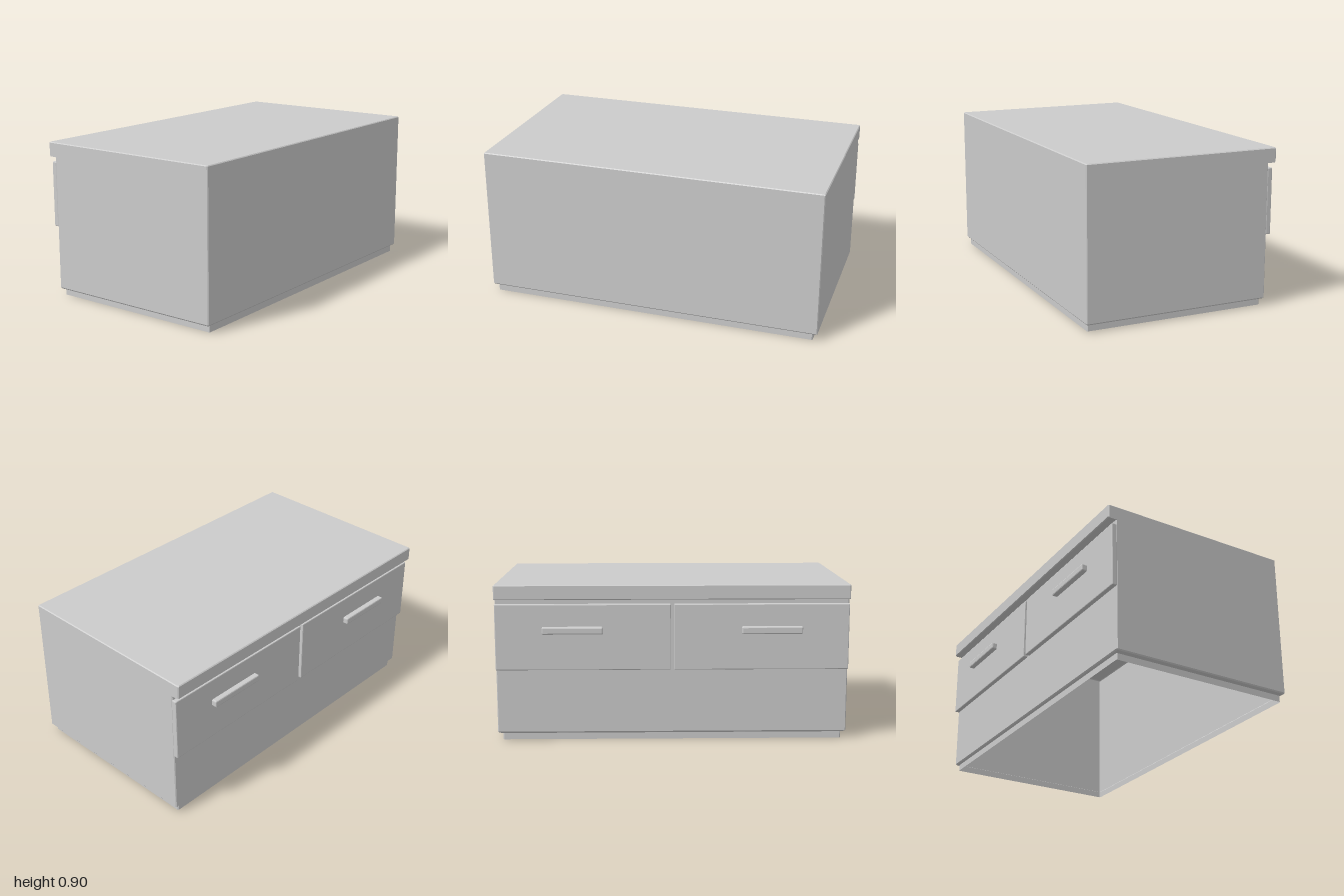
import * as THREE from 'three';
import { RoundedBoxGeometry } from 'three/addons/geometries/RoundedBoxGeometry.js';

const FRONT = 0.573, BACK = -0.517, TOP_BACK = -0.565, DRAWER_BACK = -0.543;

function createMaterial(side = THREE.FrontSide) {
  return new THREE.MeshStandardMaterial({ color: 0xcccccc, flatShading: true, side });
}

// Rectangle with chamfered corners at height y, counter-clockwise from above
function ring({ y, x, front, back }) {
  const c = 0.005;
  return [
    [x - c, front], [x, front - c], [x, back + c], [x - c, back],
    [-x + c, back], [-x, back + c], [-x, front - c], [-x + c, front],
  ].map(([px, pz]) => new THREE.Vector3(px, y, pz));
}

// Skin stacked rings into a shell, closed at the top and open underneath
function loftShell(sections) {
  const rings = sections.map(ring);
  const points = [];
  for (let i = 0; i < rings.length - 1; i++) {
    const low = rings[i], high = rings[i + 1];
    for (let j = 0; j < low.length; j++) {
      const k = (j + 1) % low.length;
      points.push(low[j], low[k], high[k], low[j], high[k], high[j]);
    }
  }
  const cap = rings[rings.length - 1];
  for (let j = 1; j < cap.length - 1; j++) points.push(cap[0], cap[j], cap[j + 1]);
  const geometry = new THREE.BufferGeometry().setFromPoints(points);
  geometry.computeVertexNormals();
  return geometry;
}

// Softly bevelled block given by its extents
function block(name, [x0, x1], [y0, y1], [z0, z1], bevel) {
  const geometry = new RoundedBoxGeometry(x1 - x0, y1 - y0, z1 - z0, 1, bevel);
  const mesh = new THREE.Mesh(geometry, createMaterial());
  mesh.name = name;
  mesh.position.set((x0 + x1) / 2, (y0 + y1) / 2, (z0 + z1) / 2);
  return mesh;
}

export function createModel() {
  const model = new THREE.Group();
  model.name = 'drawerCabinet';

  // Hollow cabinet: recessed plinth, straight walls, overhanging top edge
  const body = new THREE.Mesh(loftShell([
    { y: 0, x: 0.97, front: 0.558, back: -0.502 },
    { y: 0.037, x: 0.97, front: 0.558, back: -0.502 },
    { y: 0.042, x: 0.993, front: 0.567, back: -0.511 },
    { y: 0.049, x: 0.998, front: FRONT, back: BACK },
    { y: 0.796, x: 0.998, front: FRONT, back: BACK },
    { y: 0.814, x: 0.998, front: FRONT, back: BACK },
    { y: 0.815, x: 0.998, front: FRONT, back: TOP_BACK + 0.005 },
    { y: 0.82, x: 0.998, front: FRONT, back: TOP_BACK },
    { y: 0.893, x: 0.998, front: FRONT, back: TOP_BACK },
    { y: 0.898, x: 0.993, front: FRONT - 0.005, back: TOP_BACK + 0.005 },
  ]), createMaterial(THREE.DoubleSide));
  body.name = 'cabinetBody';
  model.add(body);

  // Two drawers with bar handles, mirrored about the middle gap
  for (const side of [-1, 1]) {
    const span = (a, b) => (side > 0 ? [a, b] : [-b, -a]);
    const drawer = new THREE.Group();
    drawer.name = side > 0 ? 'leftDrawer' : 'rightDrawer';
    drawer.add(
      block('drawerPanel', span(0.01, 0.998), [0.412, 0.787], [DRAWER_BACK, -0.512], 0.005),
      block('drawerHandle', span(0.39, 0.733), [0.62, 0.661], [-0.574, DRAWER_BACK + 0.01], 0.007),
    );
    model.add(drawer);
  }
  return model;
}
